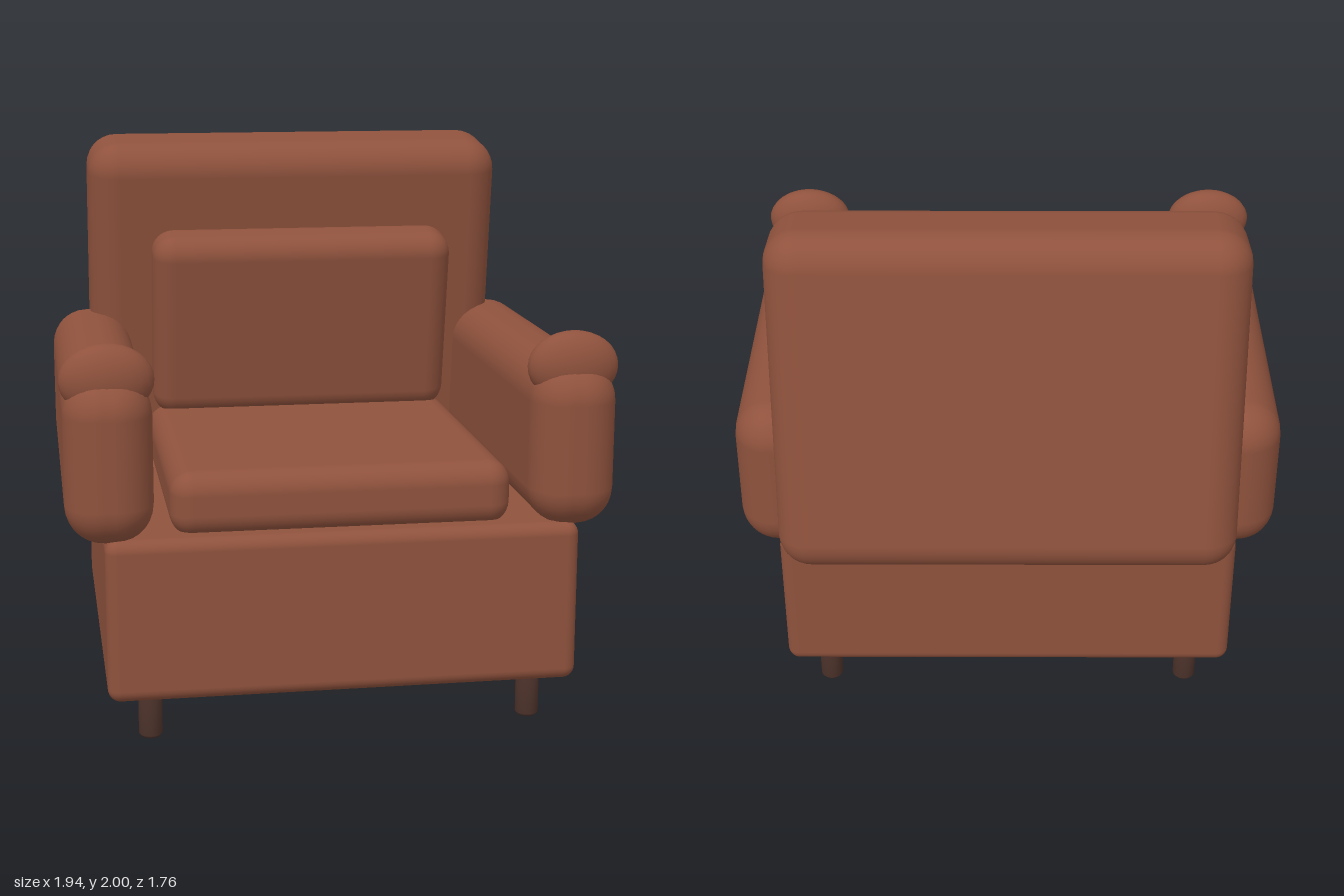
import * as THREE from 'three';
import { RoundedBoxGeometry } from 'three/addons/geometries/RoundedBoxGeometry.js';

export function createModel() {
  const model = new THREE.Group();
  model.name = 'armchair';

  const leather = new THREE.MeshStandardMaterial({ color: 0x8f523d });
  leather.name = 'brown leather';
  const darkWood = new THREE.MeshStandardMaterial({ color: 0x4a3029 });
  darkWood.name = 'dark wood';

  function add(name, geometry, material, x, y, z, tilt = 0) {
    const mesh = new THREE.Mesh(geometry, material);
    mesh.name = name;
    mesh.position.set(x, y, z);
    mesh.rotation.x = tilt;
    model.add(mesh);
    return mesh;
  }

  const padded = (w, h, d, r) => new RoundedBoxGeometry(w, h, d, 4, r);

  // Base and upholstery; the backrest and its pillow lean forward
  add('base', padded(1.66, 0.58, 1.51, 0.045), leather, 0, 0.45, 0.085);
  add('seatCushion', padded(1.2, 0.23, 1.18, 0.08), leather, 0, 0.835, 0.19);
  add('backrest', padded(1.62, 1.265, 0.38, 0.12), leather, 0, 1.36, -0.615, 0.14);
  add('backPillow', padded(1.16, 0.725, 0.23, 0.085), leather, 0, 1.288, -0.3, 0.18);

  // Armrests, arm knobs and legs, mirrored left and right
  const armGeometry = padded(0.305, 0.58, 1.59, 0.135);
  const knobGeometry = new THREE.SphereGeometry(1, 24, 16);
  // Leg profile with softened rims
  const legProfile = [[0, 0], [0.034, 0], [0.042, 0.01], [0.042, 0.17], [0, 0.17]];
  const legGeometry = new THREE.LatheGeometry(
    legProfile.map(([r, y]) => new THREE.Vector2(r, y)), 16);

  for (const [side, s] of [['left', 1], ['right', -1]]) {
    add(side + 'Armrest', armGeometry, leather, s * 0.808, 1.01, 0.085);
    add(side + 'ArmKnob', knobGeometry, leather, s * 0.808, 1.285, 0.75)
      .scale.set(0.162, 0.125, 0.08);
    add(side + 'FrontLeg', legGeometry, darkWood, s * 0.68, 0, 0.725);
    add(side + 'BackLeg', legGeometry, darkWood, s * 0.68, 0, -0.555);
  }

  return model;
}
